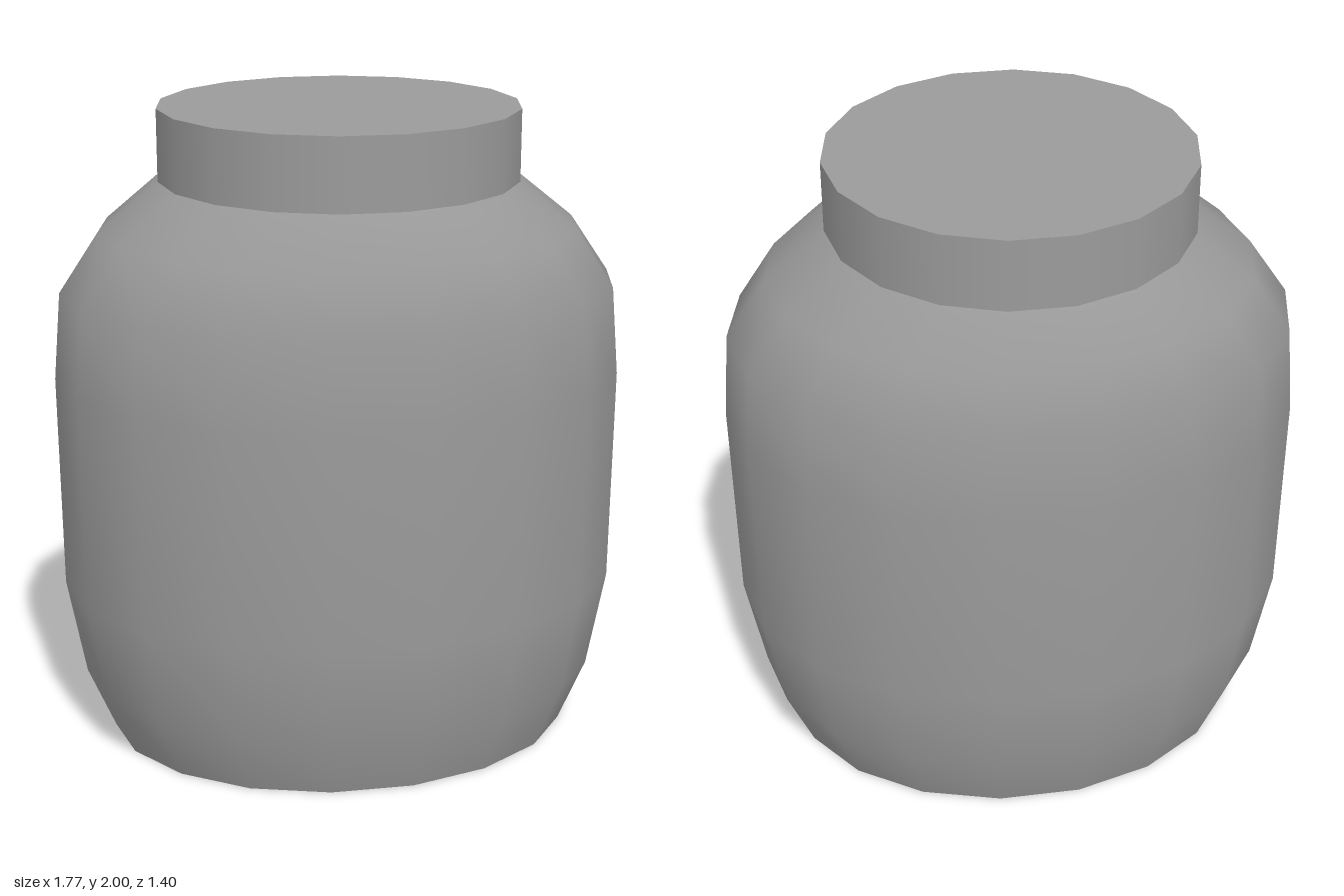
import * as THREE from 'three';
import { mergeVertices } from 'three/addons/utils/BufferGeometryUtils.js';

const SIDES = 18;

// Body rings from base to neck: [height, half-width in x, half-depth in z]
const RINGS = [
  [0, 0.735, 0.59],
  [0.2, 0.82, 0.657],
  [0.51, 0.877, 0.703],
  [1.18, 0.883, 0.709],
  [1.45, 0.86, 0.693],
  [1.63, 0.738, 0.641],
  [1.78, 0.553, 0.553],
];

// Lathe the x profile, then squash each ring in z to its own oval
function ovalLathe(rings) {
  const profile = rings.map(([y, rx]) => new THREE.Vector2(rx, y));
  const lathe = new THREE.LatheGeometry(profile, SIDES, Math.PI / 2);
  const pos = lathe.attributes.position;
  for (let i = 0; i < pos.count; i++) {
    const [, rx, rz] = rings[i % rings.length];
    pos.setZ(i, pos.getZ(i) * rz / rx);
  }
  // Weld the seam so the shading runs smoothly all the way round
  lathe.deleteAttribute('uv');
  lathe.deleteAttribute('normal');
  const geometry = mergeVertices(lathe, 1e-4);
  geometry.computeVertexNormals();
  return geometry;
}

export function createModel() {
  const model = new THREE.Group();
  model.name = 'jar';
  const material = new THREE.MeshStandardMaterial({ color: 0x9b9b9b });
  const add = (name, geometry) => {
    const mesh = new THREE.Mesh(geometry, material);
    mesh.name = name;
    model.add(mesh);
    return mesh;
  };

  // Oval body with rounded shoulders
  add('body', ovalLathe(RINGS));

  // Flat oval underside
  const [, baseX, baseZ] = RINGS[0];
  add('base', new THREE.CircleGeometry(1, SIDES).rotateX(Math.PI / 2).scale(baseX, 1, baseZ));

  // Round lid
  const lidHeight = 0.22;
  add('lid', new THREE.CylinderGeometry(0.553, 0.553, lidHeight, SIDES, 1, false, Math.PI / 2))
    .position.y = 2 - lidHeight / 2;

  return model;
}
